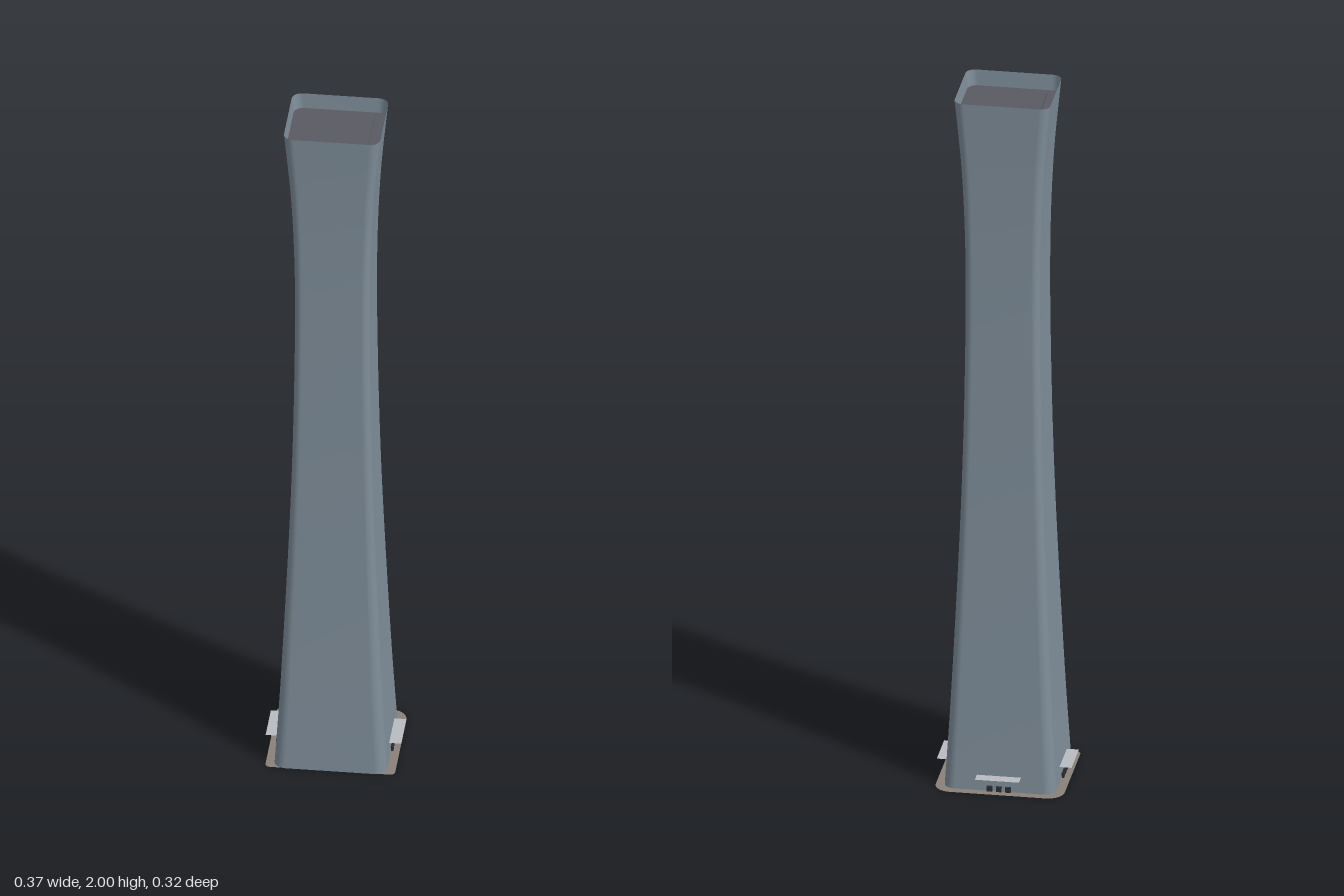
import * as THREE from 'three';

const mat = (name, color, side = THREE.FrontSide) => {
  const m = new THREE.MeshStandardMaterial({ color, side });
  m.name = name;
  return m;
};

const CZ = 0.016; // the shaft sits slightly forward of the centre

// Points of a rounded rectangle, [x, z], counter-clockwise in x/z
function roundedRing(hx, hz, r, seg = 8) {
  const pts = [];
  [[1, 1], [-1, 1], [-1, -1], [1, -1]].forEach(([sx, sz], q) => {
    for (let i = 0; i <= seg; i++) {
      const a = (q + i / seg) * Math.PI / 2;
      pts.push([sx * (hx - r) + r * Math.cos(a), sz * (hz - r) + r * Math.sin(a)]);
    }
  });
  return pts;
}

// Shaft profile: half width, height, half depth
const profile = new THREE.CatmullRomCurve3([
  [0.152, 0, 0.146], [0.140, 0.2, 0.136], [0.130, 0.4, 0.127], [0.121, 0.6, 0.119],
  [0.113, 0.8, 0.112], [0.107, 1, 0.107], [0.103, 1.2, 0.104], [0.101, 1.4, 0.102],
  [0.103, 1.6, 0.102], [0.112, 1.8, 0.106], [0.130, 2, 0.114],
].map(p => new THREE.Vector3(...p)));

// Smooth open shell lofted through the rounded cross-sections
function shaftGeometry() {
  const pos = [], idx = [];
  const levels = profile.getPoints(60);
  let n = 0;
  for (const p of levels) {
    const ring = roundedRing(p.x, p.z, p.x * 0.21);
    n = ring.length;
    for (const [x, z] of ring) pos.push(x, p.y, z + CZ);
  }
  for (let j = 0; j < levels.length - 1; j++) {
    for (let i = 0; i < n; i++) {
      const a = j * n + i, b = j * n + (i + 1) % n;
      idx.push(a, a + n, b, b, a + n, b + n);
    }
  }
  const g = new THREE.BufferGeometry();
  g.setAttribute('position', new THREE.Float32BufferAttribute(pos, 3));
  g.setIndex(idx);
  g.computeVertexNormals();
  return g;
}

// Flat horizontal sheet from a shape drawn in x and -z
function sheet(shape) {
  return new THREE.ShapeGeometry(shape, 8).rotateX(-Math.PI / 2);
}

export function createModel() {
  const model = new THREE.Group();
  model.name = 'tower';
  const glass = mat('blue grey facade', 0x7f8e9a, THREE.DoubleSide);
  const roofGrey = mat('dark roof', 0x5a5a62, THREE.DoubleSide);
  const paving = mat('warm paving', 0x8a8178, THREE.DoubleSide);
  const canopyGrey = mat('light canopy', 0xb8bcc0, THREE.DoubleSide);
  const doorDark = mat('dark doors', 0x2b2e33);

  const add = (name, geometry, material, x = 0, y = 0, z = 0) => {
    const mesh = new THREE.Mesh(geometry, material);
    mesh.name = name;
    mesh.position.set(x, y, z);
    model.add(mesh);
    return mesh;
  };

  add('shaft', shaftGeometry(), glass);

  // Ground plate: large rounded corners behind, small clipped ones in front
  const s = new THREE.Shape();
  const w = 0.175, back = 0.154, front = -0.16, r = 0.045, c = 0.013;
  s.moveTo(-w + c, front);
  s.lineTo(w - c, front);
  s.quadraticCurveTo(w - 0.003, front, w, front + c);
  s.lineTo(w, back - r);
  s.absarc(w - r, back - r, r, 0, Math.PI / 2, false);
  s.lineTo(-w + r, back);
  s.absarc(-w + r, back - r, r, Math.PI / 2, Math.PI, false);
  s.lineTo(-w, front + c);
  s.quadraticCurveTo(-w + 0.003, front, -w + c, front);
  add('groundPlate', sheet(s), paving);

  // Recessed roof with a low raised panel
  const deck = new THREE.Shape(roundedRing(0.125, 0.1115, 0.026).map(p => new THREE.Vector2(...p)));
  add('roofDeck', sheet(deck), roofGrey, 0, 1.955, CZ);
  add('roofPanel', new THREE.BoxGeometry(0.188, 0.008, 0.158), roofGrey, 0, 1.959, 0.014);

  // Entrances on both sides and the back: thin canopy above three doors
  const canopy = new THREE.PlaneGeometry(0.12, 0.033).rotateX(-Math.PI / 2);
  const door = new THREE.BoxGeometry(0.015, 0.014, 0.012);
  const entrance = (name, x, z, turn, doorInset) => {
    const g = new THREE.Group();
    g.name = name;
    g.position.set(x, 0, z);
    g.rotation.y = turn;
    const roof = new THREE.Mesh(canopy, canopyGrey);
    roof.name = 'canopy';
    roof.position.y = 0.045;
    g.add(roof);
    for (const dx of [-0.025, 0, 0.025]) {
      const d = new THREE.Mesh(door, doorDark);
      d.name = 'door';
      d.position.set(dx, 0.008, doorInset);
      g.add(d);
    }
    model.add(g);
  };
  entrance('leftEntrance', 0.1665, 0.015, Math.PI / 2, -0.0145);
  entrance('rightEntrance', -0.1665, 0.015, -Math.PI / 2, -0.0145);
  entrance('backEntrance', 0, -0.1465, Math.PI, -0.0155);

  return model;
}
